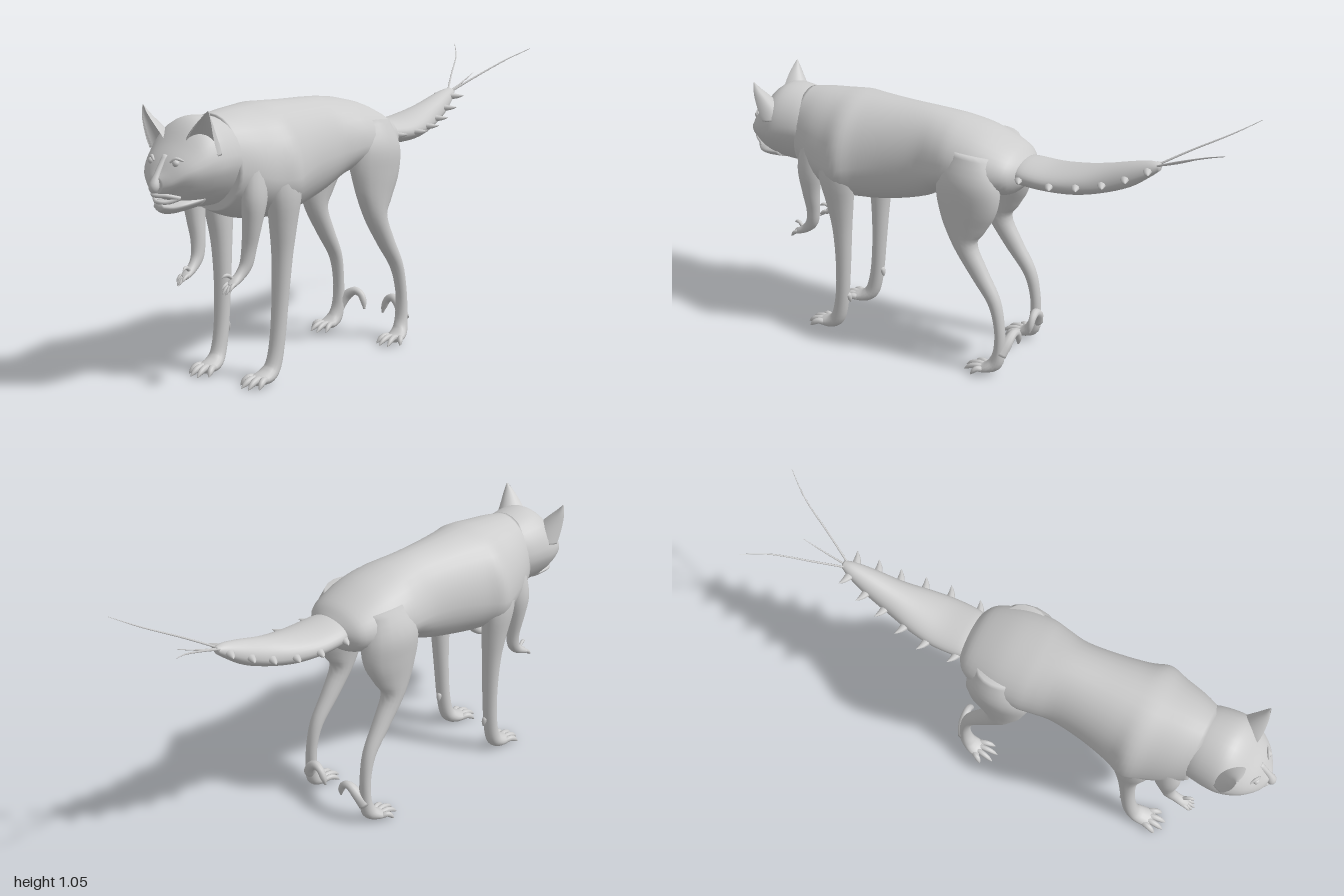
import * as THREE from 'three';

const grey = new THREE.MeshStandardMaterial({ color: 0xcccccc });
grey.name = 'plain grey';

// Catmull-Rom resampling of rows of numbers
function smooth(rows, steps) {
  const out = [], last = rows.length - 1;
  const at = i => rows[Math.min(last, Math.max(0, i))];
  for (let i = 0; i < last; i++) {
    for (let s = 0; s < steps; s++) {
      const t = s / steps, a = at(i - 1), b = at(i), c = at(i + 1), d = at(i + 2);
      out.push(b.map((_, k) => 0.5 * (2 * b[k] + (c[k] - a[k]) * t
        + (2 * a[k] - 5 * b[k] + 4 * c[k] - d[k]) * t * t
        + (3 * b[k] - a[k] - 3 * c[k] + d[k]) * t * t * t)));
    }
  }
  out.push(rows[last]);
  return out;
}

// Skin closed rings of points, cap both ends, face outwards
function skin(rings) {
  const n = rings[0].length, pos = [], idx = [];
  const centre = r => r.reduce((s, p) => s.add(p), new THREE.Vector3()).divideScalar(n);
  rings.forEach(r => r.forEach(p => pos.push(p.x, p.y, p.z)));
  const first = rings.length * n, end = first + 1, top = (rings.length - 1) * n;
  [rings[0], rings[rings.length - 1]].forEach(r => pos.push(...centre(r).toArray()));
  for (let j = 0; j < n; j++) {
    const k = (j + 1) % n;
    for (let i = 0; i < rings.length - 1; i++) {
      const a = i * n + j, b = i * n + k;
      idx.push(a, b, a + n, b, b + n, a + n);
    }
    idx.push(first, k, j, end, top + j, top + k);
  }
  let volume = 0;
  const v = i => new THREE.Vector3().fromArray(pos, i * 3);
  for (let i = 0; i < idx.length; i += 3) volume += v(idx[i]).dot(v(idx[i + 1]).cross(v(idx[i + 2])));
  if (volume < 0) idx.reverse();
  const g = new THREE.BufferGeometry();
  g.setAttribute('position', new THREE.Float32BufferAttribute(pos, 3));
  g.setIndex(idx);
  g.computeVertexNormals();
  return g;
}

// Upright sections along z: [z, top, widest height, bottom, half width]
function hull(rows, pinch = 0) {
  return skin(smooth(rows, 4).map(([z, top, mid, bot, w]) => Array.from({ length: 32 }, (_, j) => {
    const a = j / 32 * Math.PI * 2, c = Math.cos(a), s = Math.sin(a);
    return new THREE.Vector3(w * c * (s < 0 ? 1 + pinch * s : 1), mid + s * (s > 0 ? top - mid : mid - bot), z);
  })));
}

// Oval sections square to a path: [x, y, z, side radius, depth radius]
function limb(rows, n = 16, steps = 4, ref = new THREE.Vector3(1, 0, 0)) {
  const path = smooth(rows, steps);
  const pt = r => new THREE.Vector3(r[0], r[1], r[2]);
  return skin(path.map((r, i) => {
    const t = pt(path[Math.min(path.length - 1, i + 1)]).sub(pt(path[Math.max(0, i - 1)])).normalize();
    const side = ref.clone().addScaledVector(t, -ref.dot(t)).normalize();
    const depth = t.clone().cross(side);
    return Array.from({ length: n }, (_, j) => {
      const a = j / n * Math.PI * 2;
      return pt(r).addScaledVector(side, Math.cos(a) * r[3]).addScaledVector(depth, Math.sin(a) * r[4]);
    });
  }));
}

// A digit that swells at the knuckle and ends in a claw
function digit(a, b, r, lift = 0.012) {
  const p = t => a.map((v, i) => v + (b[i] - v) * t + (i === 1 ? lift * Math.sin(t * Math.PI) : 0));
  return limb([[0, 1], [0.35, 1], [0.65, 0.9], [0.85, 0.6], [1, 0.1]].map(([t, k]) => [...p(t), r * k, r * k]), 8, 3);
}

// Cupped ear: crescent sections rising to a point
function ear(s) {
  const rows = [[0.1, 0.845, 0.86, 0.055, 0.07], [0.106, 0.875, 0.872, 0.05, 0.066],
    [0.122, 0.915, 0.88, 0.034, 0.045], [0.137, 0.95, 0.882, 0.018, 0.022], [0.146, 0.98, 0.88, 0.002, 0.003]];
  return skin(smooth(rows, 4).map(([x, y, z, w, d]) => Array.from({ length: 24 }, (_, j) => {
    const a = j / 24 * Math.PI * 2, u = w * Math.cos(a), sn = Math.sin(a);
    const back = d * (sn > 0 ? sn : -sn * 0.7);
    return new THREE.Vector3(s * (x + u - back * 0.15), y - 0.25 * u, z - back - 0.3 * u);
  })));
}

export function createModel() {
  const model = new THREE.Group();
  model.name = 'creature';
  const add = (name, geometry, parent = model) => {
    const m = new THREE.Mesh(geometry, grey);
    m.name = name;
    parent.add(m);
    return m;
  };

  add('body', hull([[-0.205, 0.815, 0.78, 0.745, 0.05], [-0.19, 0.835, 0.78, 0.72, 0.1],
    [-0.15, 0.87, 0.78, 0.69, 0.145], [-0.05, 0.915, 0.78, 0.68, 0.175], [0.05, 0.94, 0.78, 0.67, 0.178],
    [0.12, 0.95, 0.77, 0.655, 0.165], [0.2, 0.957, 0.76, 0.61, 0.152], [0.32, 0.96, 0.75, 0.575, 0.165],
    [0.43, 0.965, 0.73, 0.56, 0.19], [0.5, 0.967, 0.72, 0.565, 0.216], [0.57, 0.962, 0.72, 0.57, 0.195],
    [0.65, 0.955, 0.74, 0.59, 0.168], [0.72, 0.945, 0.76, 0.62, 0.135]]));

  // Head, jaw, nose and lips
  add('head', hull([[0.66, 0.92, 0.78, 0.65, 0.12], [0.72, 0.94, 0.79, 0.64, 0.14],
    [0.8, 0.948, 0.79, 0.643, 0.15], [0.85, 0.925, 0.785, 0.648, 0.143], [0.9, 0.867, 0.775, 0.665, 0.12],
    [0.935, 0.825, 0.765, 0.692, 0.091], [0.96, 0.785, 0.745, 0.7, 0.058], [0.975, 0.765, 0.735, 0.707, 0.028]], 0.25));
  add('jaw', hull([[0.83, 0.7, 0.68, 0.643, 0.085], [0.9, 0.69, 0.67, 0.637, 0.07],
    [0.94, 0.68, 0.662, 0.64, 0.045], [0.965, 0.677, 0.665, 0.653, 0.018]], 0.3));
  add('nose', limb([[0, 0.83, 0.925, 0.012, 0.01], [0, 0.775, 0.961, 0.012, 0.014],
    [0, 0.735, 0.982, 0.019, 0.018], [0, 0.716, 0.982, 0.01, 0.01]]));
  [['upperLip', 0.705, 0.978], ['lowerLip', 0.682, 0.966]].forEach(([name, y, z]) => {
    const curve = new THREE.CatmullRomCurve3([[-0.058, 0.694, 0.922], [-0.03, y, z - 0.018], [0, y, z],
      [0.03, y, z - 0.018], [0.058, 0.694, 0.922]].map(p => new THREE.Vector3(...p)));
    add(name, new THREE.TubeGeometry(curve, 24, 0.007, 8));
  });

  // Tail with three filaments
  add('tail', hull([[-0.17, 0.82, 0.78, 0.745, 0.07], [-0.2, 0.83, 0.785, 0.735, 0.095],
    [-0.3, 0.828, 0.78, 0.733, 0.1], [-0.4, 0.842, 0.785, 0.737, 0.088], [-0.5, 0.865, 0.8, 0.76, 0.066],
    [-0.6, 0.893, 0.84, 0.8, 0.048], [-0.67, 0.908, 0.875, 0.85, 0.03], [-0.705, 0.905, 0.895, 0.88, 0.014]]));
  add('middleFilament', limb([[0, 0.895, -0.69, 0.004, 0.004], [0, 0.92, -0.77, 0.003, 0.003],
    [0, 0.957, -0.86, 0.001, 0.001]], 6));

  for (const s of [1, -1]) {
    const half = new THREE.Group();
    half.name = s > 0 ? 'leftSide' : 'rightSide';
    model.add(half);
    const flip = rows => rows.map(([x, ...rest]) => [s * x, ...rest]);
    const put = (name, geometry) => add(name, geometry, half);

    put('ear', ear(s));
    put('eye', new THREE.SphereGeometry(0.012, 16, 12)).position.set(s * 0.055, 0.81, 0.936);
    put('eyelid', limb(flip([[0.036, 0.812, 0.944, 0.003, 0.003], [0.055, 0.825, 0.934, 0.006, 0.006],
      [0.076, 0.816, 0.92, 0.003, 0.003]]), 8, 4, new THREE.Vector3(0, 0, 1)));

    // Small grasping arm
    put('arm', limb(flip([[0.125, 0.77, 0.635, 0.04, 0.05], [0.137, 0.67, 0.65, 0.04, 0.05],
      [0.13, 0.58, 0.655, 0.033, 0.036], [0.118, 0.5, 0.657, 0.026, 0.027], [0.112, 0.44, 0.667, 0.022, 0.024],
      [0.108, 0.405, 0.695, 0.018, 0.018], [0.106, 0.385, 0.728, 0.02, 0.013], [0.105, 0.375, 0.745, 0.016, 0.009]])));
    [[0.09, 0.365, 0.768], [0.1, 0.352, 0.775], [0.112, 0.352, 0.77], [0.122, 0.362, 0.762]].forEach(([x, y, z], i) =>
      put('finger', digit([s * (0.094 + i * 0.008), 0.383, 0.73], [s * x, y, z], 0.007, 0.006)));
    put('armThumb', digit([s * 0.1, 0.395, 0.72], [s * 0.088, 0.405, 0.765], 0.007));

    // Front leg and paw
    put('frontLeg', limb(flip([[0.14, 0.8, 0.52, 0.05, 0.08], [0.155, 0.68, 0.52, 0.052, 0.075],
      [0.147, 0.56, 0.515, 0.045, 0.054], [0.14, 0.45, 0.513, 0.037, 0.038], [0.134, 0.3, 0.518, 0.031, 0.029],
      [0.131, 0.16, 0.53, 0.028, 0.027], [0.129, 0.07, 0.55, 0.029, 0.028], [0.125, 0.036, 0.58, 0.036, 0.026],
      [0.12, 0.026, 0.625, 0.038, 0.017], [0.119, 0.022, 0.64, 0.03, 0.012]])));
    put('frontDewclaw', digit([s * 0.128, 0.165, 0.51], [s * 0.125, 0.135, 0.497], 0.011));
    [[0.074, 0.66], [0.103, 0.688], [0.134, 0.688], [0.163, 0.665]].forEach(([x, z], i) =>
      put('frontToe', digit([s * (0.096 + i * 0.017), 0.028, 0.61], [s * x, 0.009, z], 0.0125)));

    // Hind leg and clawed foot
    put('hindLeg', limb(flip([[0.105, 0.85, -0.03, 0.06, 0.08], [0.125, 0.76, -0.025, 0.077, 0.12],
      [0.132, 0.67, -0.022, 0.066, 0.122], [0.137, 0.58, -0.014, 0.05, 0.088], [0.14, 0.5, -0.02, 0.04, 0.046],
      [0.142, 0.4, -0.077, 0.032, 0.034], [0.146, 0.3, -0.14, 0.026, 0.025], [0.15, 0.2, -0.164, 0.023, 0.02],
      [0.152, 0.11, -0.165, 0.025, 0.021], [0.156, 0.055, -0.152, 0.029, 0.028], [0.162, 0.032, -0.12, 0.036, 0.02],
      [0.164, 0.026, -0.09, 0.033, 0.012]])));
    [[0.122, -0.05], [0.15, -0.028], [0.184, -0.035], [0.212, -0.075]].forEach(([x, z], i) =>
      put('hindToe', digit([s * (0.138 + i * 0.017), 0.03, -0.11], [s * x, 0.012, z], 0.011)));
    put('heelThumb', limb(flip([[0.155, 0.09, -0.17, 0.025, 0.025], [0.13, 0.13, -0.185, 0.022, 0.02],
      [0.095, 0.155, -0.192, 0.017, 0.016], [0.066, 0.146, -0.195, 0.014, 0.014], [0.05, 0.118, -0.194, 0.012, 0.012],
      [0.044, 0.09, -0.19, 0.004, 0.004]]), 10, 4, new THREE.Vector3(0, 0, 1)));

    // Tail spines and long filament
    [[-0.215, 0.08, 0.78], [-0.335, 0.085, 0.78], [-0.43, 0.07, 0.79], [-0.52, 0.05, 0.81],
      [-0.6, 0.036, 0.842], [-0.675, 0.018, 0.88]].forEach(([z, x, y]) =>
      put('tailSpine', limb(flip([[x, y, z + 0.01, 0.018, 0.013], [x + 0.03, y, z, 0.011, 0.009],
        [x + 0.053, y + 0.003, z - 0.012, 0.001, 0.001]]), 8, 3, new THREE.Vector3(0, 0, 1))));
    put('longFilament', limb(flip([[0.008, 0.895, -0.69, 0.004, 0.004], [0.06, 0.95, -0.79, 0.0035, 0.0035],
      [0.12, 1.01, -0.91, 0.0025, 0.0025], [0.185, 1.055, -0.995, 0.001, 0.001]]), 6));
  }
  return model;
}
